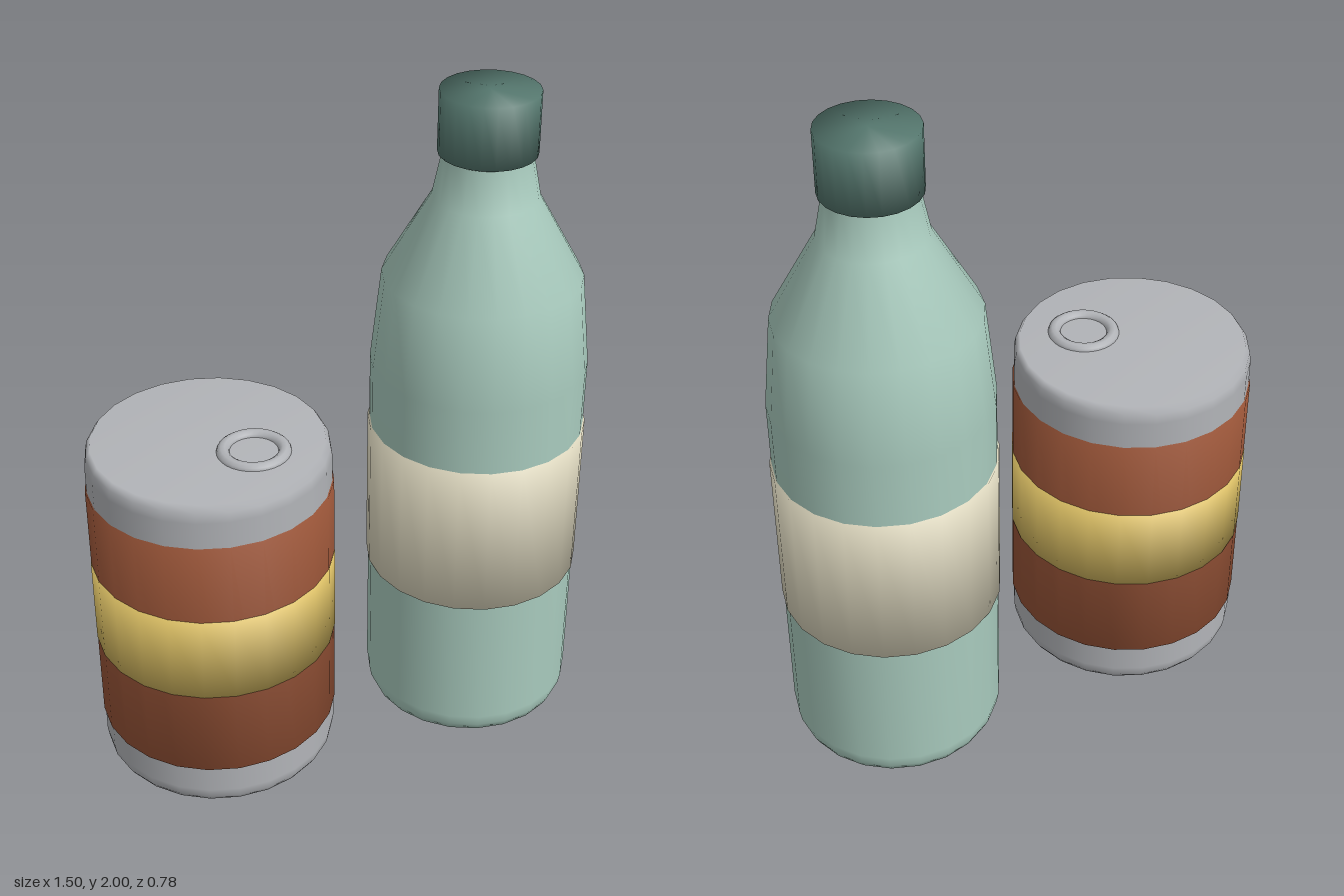
import * as THREE from 'three';

const mat = (name, color) => {
  const m = new THREE.MeshStandardMaterial({ color });
  m.name = name;
  return m;
};

export function createModel() {
  const metal = mat('metal grey', 0xb2b4b8);
  const rust = mat('rust red', 0x9a5538);
  const gold = mat('mustard gold', 0xd8bc62);
  const glass = mat('mint glass', 0xa8cabd);
  const capGreen = mat('dark green', 0x55776e);
  const cream = mat('cream', 0xddd7be);

  // Smooth closed solid of revolution from [radius, y] points, bottom to top
  const turned = (parent, name, material, sides, profile) => {
    const pts = [[0, profile[0][1]], ...profile, [0, profile.at(-1)[1]]];
    const geo = new THREE.LatheGeometry(pts.map(([r, y]) => new THREE.Vector2(r, y)), sides);
    const mesh = new THREE.Mesh(geo, material);
    mesh.name = name;
    parent.add(mesh);
    return mesh;
  };

  // Drinks can
  const can = new THREE.Group();
  can.name = 'can';
  can.position.set(-0.395, 0, 0.028);
  turned(can, 'canBody', metal, 24, [
    [0.335, 0], [0.348, 0.02], [0.353, 0.05],
    [0.353, 1.015], [0.348, 1.045], [0.335, 1.065],
  ]);
  turned(can, 'canWrap', rust, 24, [[0.3575, 0.135], [0.3575, 0.932]]);
  turned(can, 'canStripe', gold, 24, [[0.359, 0.412], [0.359, 0.682]]);
  const ring = new THREE.Mesh(new THREE.TorusGeometry(0.0875, 0.0195, 10, 32), metal);
  ring.name = 'pullRing';
  ring.rotation.x = -Math.PI / 2;
  ring.position.set(0.115, 1.062, 0.094);
  can.add(ring);

  // Bottle
  const bottle = new THREE.Group();
  bottle.name = 'bottle';
  bottle.position.set(0.426, 0, -0.07);
  bottle.rotation.y = Math.PI / 2;
  turned(bottle, 'bottleBody', glass, 22, [
    [0.3, 0], [0.312, 0.025], [0.318, 0.06], [0.318, 1.17],
    [0.288, 1.45], [0.152, 1.69], [0.124, 1.83], [0.124, 1.9],
  ]);
  turned(bottle, 'bottleLabel', cream, 22, [[0.3235, 0.487], [0.3235, 0.968]]);
  turned(bottle, 'bottleCap', capGreen, 22, [[0.14, 1.82], [0.14, 2]]);

  const model = new THREE.Group();
  model.name = 'canAndBottle';
  model.add(can, bottle);
  return model;
}
